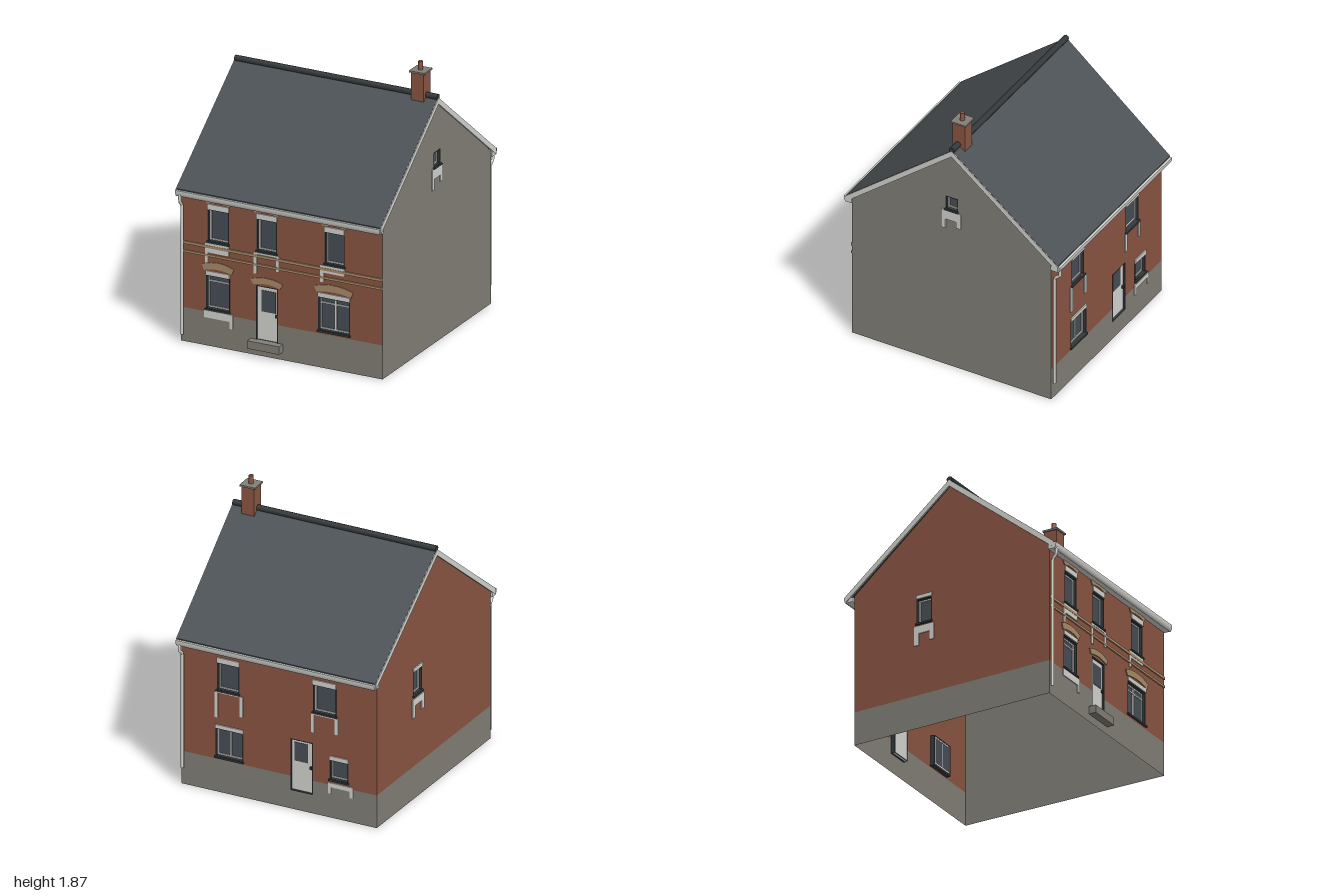
import * as THREE from 'three';
import { ConvexGeometry } from 'three/addons/geometries/ConvexGeometry.js';

const paint = (name, color, side = THREE.FrontSide) => {
  const m = new THREE.MeshStandardMaterial({ color, side });
  m.name = name;
  return m;
};
const brick = paint('brick red', 0x8b5543, THREE.DoubleSide);
const render = paint('render grey', 0x827f77, THREE.DoubleSide);
const white = paint('trim white', 0xd4d4d0);
const slate = paint('roof slate', 0x4a5054);
const glass = paint('window glass', 0x474e55, THREE.DoubleSide);
const dark = paint('charcoal', 0x33383a);
const tan = paint('sandstone', 0xa98b68);

// Wall corners in plan (x, z): the left gable is slightly skewed
const FL = [-0.722, 0.715], FR = [0.7, 0.715], BR = [0.71, -0.73], BL = [-0.665, -0.73];
const EAVE = 1.03, PLINTH = 0.228, RIDGE_Z = -0.012;

function add(parent, name, geometry, material, x = 0, y = 0, z = 0) {
  const mesh = new THREE.Mesh(geometry, material);
  mesh.name = name;
  mesh.position.set(x, y, z);
  parent.add(mesh);
  return mesh;
}

// Box given by its limits
function block(parent, name, mat, x0, x1, y0, y1, z0, z1) {
  return add(parent, name, new THREE.BoxGeometry(x1 - x0, y1 - y0, z1 - z0), mat,
    (x0 + x1) / 2, (y0 + y1) / 2, (z0 + z1) / 2);
}

const polygon = (pts) => new THREE.Shape(pts.map(([x, y]) => new THREE.Vector2(x, y)));
const rect = (x0, x1, y0, y1) => [[x0, y0], [x1, y0], [x1, y1], [x0, y1]];

// Rectangular frame, open in the middle
function ring(parent, name, mat, x0, x1, y0, y1, w, z0, depth) {
  const s = polygon(rect(x0, x1, y0, y1));
  s.holes.push(polygon(rect(x0 + w, x1 - w, y0 + w, y1 - w)));
  add(parent, name, new THREE.ExtrudeGeometry(s, { depth, bevelEnabled: false }), mat, 0, 0, z0);
}

// Window set back in its opening; bars: 'v' upright, 'h' crossbar
function addWindow(wall, { x: [x0, x1], y: [y0, y1], bars = '', lintel = 0.035 }) {
  const g = new THREE.Group();
  g.name = 'window';
  wall.add(g);
  ring(g, 'reveal', dark, x0, x1, y0, y1, 0.006, -0.03, 0.031);
  ring(g, 'frame', white, x0 + 0.006, x1 - 0.006, y0 + 0.006, y1 - 0.006, 0.009, -0.028, 0.008);
  add(g, 'pane', new THREE.PlaneGeometry(x1 - x0, y1 - y0), glass, (x0 + x1) / 2, (y0 + y1) / 2, -0.027);
  block(g, 'ledge', dark, x0 - 0.004, x1 + 0.004, y0 - 0.008, y0 + 0.004, -0.03, 0.012);
  if (lintel) block(g, 'lintel', white, x0, x1, y1, y1 + lintel, 0, 0.008);
  const mid = (x0 + x1) / 2, bar = y0 + (y1 - y0) * 0.8;
  if (bars.includes('v')) block(g, 'upright', white, mid - 0.006, mid + 0.006, y0, y1, -0.027, -0.019);
  if (bars.includes('h')) block(g, 'crossbar', white, x0, x1, bar - 0.005, bar + 0.005, -0.027, -0.019);
}

// Sill apron with optional legs at its ends
function addSill(wall, [x0, x1, top, band, left, right, w = 0.023]) {
  block(wall, 'sill', white, x0, x1, band, top, 0, 0.007);
  if (left) block(wall, 'sillLeg', white, x0, x0 + w, left, band, 0, 0.007);
  if (right) block(wall, 'sillLeg', white, x1 - w, x1, right, band, 0, 0.007);
}

function addDoor(wall, { x: [x0, x1], y: [y0, y1], pane, knob }) {
  const g = new THREE.Group();
  g.name = 'door';
  wall.add(g);
  ring(g, 'doorReveal', dark, x0, x1, y0, y1, 0.005, -0.03, 0.031);
  block(g, 'doorLeaf', white, x0, x1, y0, y1, -0.028, -0.014);
  block(g, 'doorPane', glass, ...pane, -0.014, -0.011);
  block(g, 'doorKnob', dark, knob - 0.007, knob + 0.007, y0 + 0.17, y0 + 0.19, -0.014, -0.002);
}

// Segmental arch of thin stone over an opening
function addArch(wall, x, half, y, rise, t) {
  const s = new THREE.Shape();
  s.moveTo(-half, y);
  s.quadraticCurveTo(0, y + rise * 2, half, y);
  s.lineTo(half + 0.018, y + t * 0.85);
  s.quadraticCurveTo(0, y + t * 1.15 + rise * 2, -half - 0.018, y + t * 0.85);
  add(wall, 'arch', new THREE.ExtrudeGeometry(s, { depth: 0.006, bevelEnabled: false, curveSegments: 10 }), tan, x);
}

// Wall sheet between two corners: local x runs along it, local z points outwards
function addWall(parent, name, a, b, { apex, mat = brick, windows = [], sills = [], door }) {
  const g = new THREE.Group();
  g.name = name;
  g.position.set(a[0], 0, a[1]);
  g.rotation.y = Math.atan2(a[1] - b[1], b[0] - a[0]);
  parent.add(g);
  const L = Math.hypot(b[0] - a[0], b[1] - a[1]);
  const base = mat === brick ? PLINTH : 0;
  const gap = (y) => door ? [[door.x[0], base], [door.x[0], y], [door.x[1], y], [door.x[1], base]] : [];
  const upper = polygon([[0, base], ...gap(door?.y[1]), [L, base], [L, EAVE],
    ...(apex ? [[apex, 1.615]] : []), [0, EAVE]]);
  for (const w of windows) upper.holes.push(polygon(rect(...w.x, ...w.y)));
  add(g, 'wallFace', new THREE.ShapeGeometry(upper), mat);
  if (base) {
    const lower = polygon([[0, 0], [L, 0], [L, base], ...gap(door?.y[0]).reverse(), [0, base]]);
    add(g, 'plinth', new THREE.ShapeGeometry(lower), render);
  }
  windows.forEach((w) => addWindow(g, w));
  sills.forEach((s) => addSill(g, s));
  if (door) addDoor(g, door);
  return g;
}

// Solid between four top corners and the same corners lowered by t
function slab(parent, name, mat, corners, t) {
  const pts = corners.flatMap(([x, y, z]) => [new THREE.Vector3(x, y, z), new THREE.Vector3(x, y - t, z)]);
  add(parent, name, new ConvexGeometry(pts), mat);
}

export function createModel() {
  const model = new THREE.Group();
  model.name = 'house';
  const house = new THREE.Group();
  house.name = 'turnedHouse';
  house.rotation.y = -THREE.MathUtils.degToRad(23.9);
  model.add(house);

  // Walls
  const front = addWall(house, 'frontWall', FL, FR, {
    windows: [
      { x: [0.188, 0.338], y: [0.704, 0.922] }, { x: [0.534, 0.678], y: [0.704, 0.922] },
      { x: [1.013, 1.155], y: [0.704, 0.922] },
      { x: [0.176, 0.344], y: [0.249, 0.478], bars: 'h', lintel: 0.028 },
      { x: [0.967, 1.192], y: [0.249, 0.478], bars: 'hv', lintel: 0.028 },
    ],
    sills: [
      [0.171, 0.338, 0.693, 0.63, 0.56, 0], [0.514, 0.695, 0.693, 0.682, 0.55, 0.59],
      [0.985, 1.156, 0.693, 0.645, 0.58, 0], [0.165, 0.367, 0.238, 0.19, 0, 0.143],
    ],
    door: { x: [0.528, 0.684], y: [0.1, 0.471], pane: [0.563, 0.661, 0.296, 0.439], knob: 0.67 },
  });
  for (const x of [0.263, 0.606, 1.084]) addArch(front, x, 0.08, 0.958, 0.012, 0.03);
  addArch(front, 0.262, 0.096, 0.506, 0.018, 0.045);
  addArch(front, 1.08, 0.121, 0.506, 0.018, 0.045);
  addArch(front, 0.606, 0.095, 0.474, 0.016, 0.04);
  for (const [y0, y1] of [[0.66, 0.678], [0.603, 0.618]]) block(front, 'stringCourse', tan, 0.01, 1.421, y0, y1, 0, 0.009);
  block(front, 'doorStep', render, 0.492, 0.718, 0.053, 0.106, 0, 0.05);

  addWall(house, 'backWall', BR, BL, {
    windows: [
      { x: [0.251, 0.409], y: [0.711, 0.905] }, { x: [0.925, 1.09], y: [0.711, 0.905] },
      { x: [0.239, 0.436], y: [0.245, 0.445], bars: 'v', lintel: 0.025 },
      { x: [1.043, 1.177], y: [0.267, 0.405], lintel: 0.028 },
    ],
    sills: [
      [0.235, 0.435, 0.7, 0.695, 0.52, 0.56], [0.915, 1.105, 0.7, 0.695, 0.57, 0.59],
      [1.035, 1.21, 0.245, 0.215, 0.17, 0.17],
    ],
    door: { x: [0.767, 0.925], y: [0.128, 0.49], pane: [0.79, 0.885, 0.335, 0.465], knob: 0.908 },
  });
  addWall(house, 'rightGable', FR, BR, {
    apex: 0.727, mat: render,
    windows: [{ x: [0.678, 0.77], y: [1.185, 1.285], lintel: 0 }],
    sills: [[0.65, 0.79, 1.178, 1.11, 1.04, 1.065, 0.03]],
  });
  addWall(house, 'leftGable', BL, FL, {
    apex: 0.718,
    windows: [{ x: [0.46, 0.575], y: [0.72, 0.89], lintel: 0.025 }],
    sills: [[0.448, 0.592, 0.7, 0.65, 0.57, 0.59, 0.03]],
  });

  // Roof slopes, white verges and gutters
  const ridge = { l: -0.718, r: 0.713, z: RIDGE_Z, y: 1.645 };
  const eaves = [
    { name: 'front', l: -0.735, r: 0.706, z: 0.755, wall: 0.715 },
    { name: 'back', l: -0.682, r: 0.717, z: -0.782, wall: -0.73 },
  ];
  for (const e of eaves) {
    slab(house, e.name + 'Slope', slate, [[e.l, 1.035, e.z], [e.r, 1.035, e.z],
      [ridge.r, ridge.y, ridge.z], [ridge.l, ridge.y, ridge.z]], 0.025);
    for (const [k, out] of [['l', -1], ['r', 1]]) {
      const edge = (p, y, d) => [p[k] + out * d, y, p.z];
      slab(house, e.name + 'Verge', white, [edge(e, 1.033, 0.004), edge(e, 1.033, -0.008),
        edge(ridge, 1.643, -0.008), edge(ridge, 1.643, 0.004)], 0.042);
    }
    const dir = Math.sign(e.z);
    block(house, e.name + 'Fascia', white, e.l, e.r, 0.988, 1.018,
      Math.min(e.wall, e.z - dir * 0.005), Math.max(e.wall, e.z - dir * 0.005));
    const trough = new THREE.Shape();
    trough.absellipse(0, 0, 0.016, 0.042, Math.PI, Math.PI * 2);
    const gutter = new THREE.ExtrudeGeometry(trough, { depth: e.r - e.l, bevelEnabled: false, curveSegments: 6 });
    add(house, e.name + 'Gutter', gutter, white, e.l, 1.028, e.z).rotation.y = Math.PI / 2;
  }
  const cap = new THREE.CylinderGeometry(0.02, 0.02, ridge.r - ridge.l, 8).rotateZ(Math.PI / 2);
  add(house, 'ridgeCap', cap, dark, (ridge.l + ridge.r) / 2, 1.648, RIDGE_Z);

  // Downpipes with a bend below the gutter
  for (const [x, zOut, zIn, foot] of [[-0.708, 0.76, 0.73, 0.05], [0.695, -0.787, -0.747, 0.12]]) {
    const path = new THREE.CurvePath();
    const p = [[1.0, zOut], [0.955, zOut], [0.92, zIn], [foot, zIn]].map(([y, z]) => new THREE.Vector3(x, y, z));
    for (let i = 0; i < 3; i++) path.add(new THREE.LineCurve3(p[i], p[i + 1]));
    add(house, 'downpipe', new THREE.TubeGeometry(path, 60, 0.01, 8), white);
  }

  // Chimney
  const chimney = new THREE.Group();
  chimney.name = 'chimney';
  chimney.position.set(0.587, 0, -0.016);
  house.add(chimney);
  block(chimney, 'stack', brick, -0.045, 0.045, 1.55, 1.8, -0.045, 0.045);
  block(chimney, 'stackCap', render, -0.054, 0.054, 1.798, 1.81, -0.054, 0.054);
  add(chimney, 'pot', new THREE.CylinderGeometry(0.015, 0.016, 0.058, 12), brick, 0, 1.837, 0);
  return model;
}
